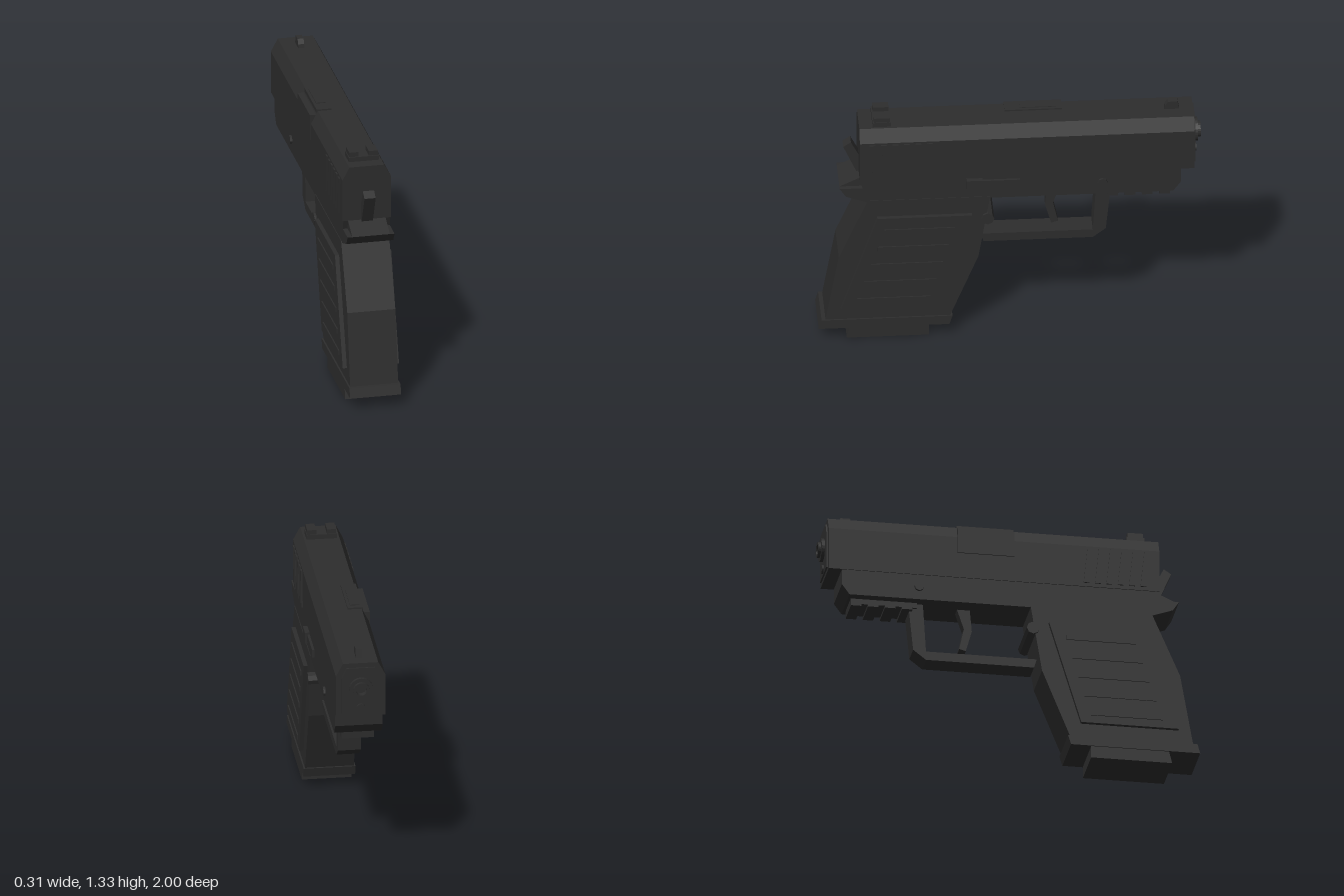
import * as THREE from 'three';

const gunmetal = new THREE.MeshStandardMaterial({ color: 0x2d2d2d });
gunmetal.name = 'dark gunmetal';

export function createModel() {
  const model = new THREE.Group();
  model.name = 'pistol';

  function add(name, geometry) {
    const mesh = new THREE.Mesh(geometry, gunmetal);
    mesh.name = name;
    model.add(mesh);
    return mesh;
  }

  const outline = (pts) => new THREE.Shape(pts.map(([a, b]) => new THREE.Vector2(a, b)));

  // Side profile of [z, y] points, extruded across the width from x0 to x1
  function profile(name, pts, x0, x1) {
    const g = new THREE.ExtrudeGeometry(outline(pts), { depth: x1 - x0, bevelEnabled: false });
    g.rotateY(-Math.PI / 2).translate(x1, 0, 0);
    return add(name, g);
  }

  // Cross-section of [x, y] points, extruded from z0 to z1
  function section(name, pts, z0, z1) {
    const g = new THREE.ExtrudeGeometry(outline(pts), { depth: z1 - z0, bevelEnabled: false });
    return add(name, g.translate(0, 0, z0));
  }

  function box(name, x0, x1, y0, y1, z0, z1) {
    const g = new THREE.BoxGeometry(x1 - x0, y1 - y0, z1 - z0);
    return add(name, g.translate((x0 + x1) / 2, (y0 + y1) / 2, (z0 + z1) / 2));
  }

  // Faceted cylinder through the width, centred on x = 0
  function crossPin(name, radius, halfWidth, y, z, sides) {
    let g = new THREE.CylinderGeometry(radius, radius, halfWidth * 2, sides).toNonIndexed();
    g.computeVertexNormals();
    return add(name, g.rotateZ(Math.PI / 2).translate(0, y, z));
  }

  // Slide with chamfered top edges
  section('slide', [[-0.13, 0.98], [0.13, 0.98], [0.13, 1.21], [0.093, 1.28], [-0.093, 1.28], [-0.13, 1.21]], -0.96, 0.785);

  // Slanted grip serrations at the rear of the slide
  for (const side of [-1, 1]) {
    for (let i = 0; i < 6; i++) {
      const z = 0.735 - i * 0.06;
      const [x0, x1] = side > 0 ? [0.125, 0.138] : [-0.138, -0.125];
      profile('slideSerration', [[z - 0.05, 1.0], [z - 0.02, 1.0], [z, 1.2], [z - 0.03, 1.2]], x0, x1);
    }
  }

  // Ejection port cover
  box('ejectionPortSide', -0.136, -0.09, 1.12, 1.26, -0.28, 0.02);
  box('ejectionPortTop', -0.1, -0.02, 1.24, 1.288, -0.28, 0.02);
  box('ejectionPortInset', -0.085, -0.035, 1.28, 1.292, -0.25, -0.06);

  // Sights
  box('rearSightBase', -0.08, 0.08, 1.27, 1.305, 0.62, 0.715);
  for (const x of [-0.052, 0.052]) box('rearSightPost', x - 0.024, x + 0.024, 1.3, 1.33, 0.625, 0.708);
  profile('frontSight', [[-0.81, 1.275], [-0.89, 1.275], [-0.88, 1.325], [-0.83, 1.325], [-0.815, 1.3]], -0.016, 0.016);

  // Muzzle
  section('muzzlePlate', [[-0.1, 1.0], [0.1, 1.0], [0.1, 1.2], [0.075, 1.255], [-0.075, 1.255], [-0.1, 1.2]], -0.968, -0.95);
  const ring = (r, hole) => {
    const s = new THREE.Shape().absarc(0, 0, r, 0, Math.PI * 2);
    s.holes.push(new THREE.Path().absarc(0, 0, hole, 0, Math.PI * 2, true));
    return s;
  };
  const muzzleRing = (name, r, hole, z0, z1) => add(name,
    new THREE.ExtrudeGeometry(ring(r, hole), { depth: z1 - z0, bevelEnabled: false, curveSegments: 12 }).translate(0, 1.14, z0));
  muzzleRing('barrelBushing', 0.062, 0.035, -0.985, -0.95);
  muzzleRing('barrel', 0.042, 0.028, -1.0, -0.95);
  add('guideRod', new THREE.CylinderGeometry(0.024, 0.024, 0.03, 12).rotateX(Math.PI / 2).translate(0, 1.03, -0.963));

  // Frame and raked grip
  profile('frame', [[0.745, 0.84], [0.785, 0.98], [-0.89, 0.98], [-0.89, 0.895], [-0.85, 0.84]], -0.125, 0.125);
  profile('grip', [[0.965, 0.11], [0.895, 0.505], [0.745, 0.85], [0.105, 0.85], [0.166, 0.48], [0.316, 0.11]], -0.128, 0.128);
  profile('gripTang', [[0.745, 0.84], [0.857, 0.88], [0.89, 0.93], [0.7, 0.93], [0.7, 0.84]], -0.125, 0.125);
  profile('gripTangTop', [[0.89, 0.93], [0.785, 0.98], [0.7, 0.98], [0.7, 0.93]], -0.1, 0.1);

  // Grip panels with horizontal ribs
  for (const side of [-1, 1]) {
    const span = (inner, outer) => (side > 0 ? [inner, outer] : [-outer, -inner]);
    profile('gripPanel', [[0.695, 0.75], [0.2, 0.75], [0.37, 0.19], [0.885, 0.19]], ...span(0.12, 0.15));
    for (let i = 0; i < 5; i++) {
      const y = 0.245 + i * 0.106;
      const t = (y - 0.19) / 0.56;
      box('gripRib', ...span(0.145, 0.156), y - 0.013, y + 0.013, 0.37 - 0.17 * t + 0.065, 0.885 - 0.19 * t - 0.065);
    }
  }

  // Magazine end
  profile('gripFlange', [[1.0, 0.065], [0.985, 0.117], [0.302, 0.117], [0.318, 0.065]], -0.136, 0.136);
  profile('magazineBase', [[0.853, 0], [0.835, 0.07], [0.425, 0.07], [0.425, 0]], -0.13, 0.13);

  // Hammer, trigger and guard
  profile('hammer', [[0.825, 1.157], [0.865, 1.13], [0.79, 0.96], [0.76, 0.96], [0.77, 1.05]], -0.03, 0.03);
  profile('trigger', [[-0.2, 0.85], [-0.27, 0.85], [-0.23, 0.73], [-0.255, 0.615], [-0.22, 0.605], [-0.188, 0.72]], -0.03, 0.03);
  profile('triggerGuard', [[0.15, 0.573], [-0.435, 0.573], [-0.452, 0.85], [-0.53, 0.85], [-0.503, 0.578],
    [-0.435, 0.525], [0.135, 0.525]], -0.06, 0.06);

  // Accessory rail
  box('railBase', -0.075, 0.075, 0.812, 0.85, -0.835, -0.485);
  for (let i = 0; i < 4; i++) {
    const z = -0.54 - i * 0.09;
    box('railTooth', -0.085, 0.085, 0.797, 0.835, z - 0.025, z + 0.03);
  }

  // Controls
  box('slideStopPad', 0.115, 0.15, 0.905, 0.965, 0.145, 0.23);
  box('slideStopLever', 0.115, 0.138, 0.912, 0.955, -0.05, 0.15);
  crossPin('framePin', 0.026, 0.137, 0.912, -0.482, 8);
  crossPin('magazineRelease', 0.034, 0.14, 0.717, 0.118, 8);

  return model;
}
